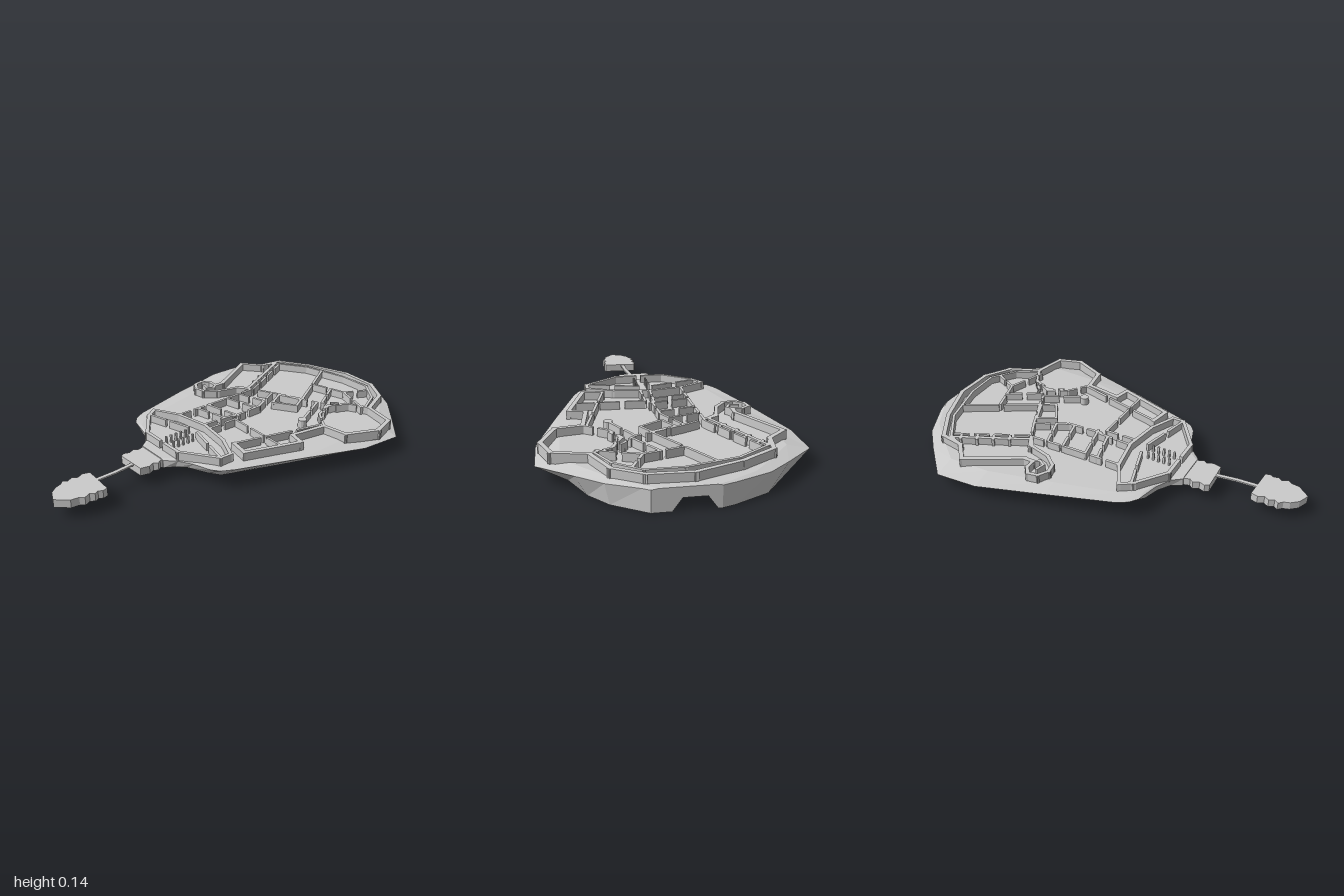
import * as THREE from 'three';

const mat = new THREE.MeshStandardMaterial({ color: 0xcccccc, flatShading: true, side: THREE.DoubleSide });
const TOP = 0.105, WALL_TOP = 0.145;

function add(parent, geometry, name) {
  const mesh = new THREE.Mesh(geometry, mat);
  mesh.name = name;
  parent.add(mesh);
  return mesh;
}

// Rock body: cross-sections along z, with a shallow channel under the middle.
function bodyGeometry() {
  // z, left edge, right edge, edge height, bottom left, bottom right, bottom height
  const stations = [
    [-1.0, -0.12, 0.17, 0.1, -0.12, 0.17, 0.0],
    [-0.98, -0.18, 0.2, 0.1, -0.18, 0.2, 0.0],
    [-0.9, -0.35, 0.34, 0.095, -0.34, 0.32, 0.0],
    [-0.8, -0.46, 0.45, 0.09, -0.42, 0.4, 0.0],
    [-0.65, -0.61, 0.61, 0.08, -0.54, 0.47, 0.005],
    [-0.43, -0.6, 0.6, 0.085, -0.49, 0.46, 0.015],
    [-0.1, -0.5, 0.49, 0.095, -0.4, 0.38, 0.018],
    [0.22, -0.395, 0.38, 0.1, -0.3, 0.28, 0.025],
    [0.28, -0.36, 0.35, 0.1, -0.27, 0.25, 0.045],
    [0.31, -0.32, 0.31, 0.1, -0.25, 0.22, 0.055],
    [0.34, -0.2, 0.22, 0.1, -0.17, 0.17, 0.06],
    [0.38, -0.12, 0.15, 0.1, -0.11, 0.13, 0.06],
    [0.43, -0.08, 0.1, 0.1, -0.08, 0.1, 0.06],
  ];
  const pos = [], idx = [];
  for (const [z, l, r, ey, bl, br, by] of stations) {
    const s = Math.min(1, -l / 0.2), cy = Math.max(by, 0.058);
    pos.push(l, ey, z, l * 0.82, TOP, z, -0.1 * s, TOP, z, 0.07 * s, TOP, z, r * 0.82, TOP, z, r, ey, z);
    pos.push(br, by, z, 0.14 * s, by, z, 0.07 * s, cy, z, -0.1 * s, cy, z, Math.max(-0.17 * s, bl), by, z, bl, by, z);
  }
  const n = 12, last = (stations.length - 1) * n;
  for (let k = 0; k < stations.length - 1; k++) {
    for (let i = 0; i < n; i++) {
      const j = (i + 1) % n, a = k * n + i, b = k * n + j, c = b + n, d = a + n;
      idx.push(a, d, c, a, c, b);
    }
  }
  for (let i = 0; i < 5; i++) {
    const t = i, u = i + 1, v = 10 - i, w = 11 - i;
    idx.push(t, u, v, t, v, w);
    idx.push(last + t, last + v, last + u, last + t, last + w, last + v);
  }
  const g = new THREE.BufferGeometry();
  g.setAttribute('position', new THREE.Float32BufferAttribute(pos, 3));
  g.setIndex(idx);
  g.computeVertexNormals();
  return g;
}

// Flat slab from an outline of [x, z] points in hundredths.
function slab(points, y0, y1) {
  const shape = new THREE.Shape(points.map(([x, z]) => new THREE.Vector2(x / 100, -z / 100)));
  const g = new THREE.ExtrudeGeometry(shape, { depth: y1 - y0, bevelEnabled: false });
  return g.rotateX(-Math.PI / 2).translate(0, y0, 0);
}

// Wall along [x, z, x, z, ...] in hundredths; doors is the number of gaps per segment.
function wall(parent, name, pts, thick = 0.014, doors = 0) {
  const group = new THREE.Group(), gap = 0.025, h = WALL_TOP - TOP + 0.01;
  group.name = name;
  parent.add(group);
  for (let i = 0; i + 3 < pts.length; i += 2) {
    const [x0, z0, x1, z1] = pts.slice(i, i + 4).map((v) => v / 100);
    const len = Math.hypot(x1 - x0, z1 - z0), pieces = doors + 1;
    const pieceLen = (len + thick - doors * gap) / pieces;
    for (let p = 0; p < pieces; p++) {
      const t = (-thick / 2 + p * (pieceLen + gap) + pieceLen / 2) / len;
      const m = add(group, new THREE.BoxGeometry(pieceLen, h, thick), name + 'Section');
      m.position.set(x0 + (x1 - x0) * t, WALL_TOP - h / 2, z0 + (z1 - z0) * t);
      m.rotation.y = -Math.atan2(z1 - z0, x1 - x0);
    }
  }
}

export function createModel() {
  const model = new THREE.Group();
  model.name = 'islandFort';

  // Ground
  add(model, bodyGeometry(), 'rockBody');
  add(model, slab([[-8, 41], [10, 41], [9, 44], [10.5, 46], [9, 48], [10.5, 51], [9.5, 55.5],
    [-6, 56], [-7.5, 54], [-6.5, 51], [-8, 48], [-6.5, 46]], 0.06, 0.1), 'bridgeHead');
  add(model, slab([[2, 55], [4, 55], [5.5, 66], [6, 77], [4, 77], [3.5, 66]], 0.09, 0.098), 'bridge');
  add(model, slab([[-2, 75.5], [15, 76.5], [15.5, 79], [14.5, 81], [15.5, 83], [14, 85], [15.5, 88], [14, 90],
    [13.5, 94], [8.5, 99.8], [3, 97.5], [0, 94], [-1, 91], [-3, 89], [-1.5, 87], [-3, 84.5], [-1.5, 82], [-3, 79]],
    0.06, 0.1), 'outerIslet');

  // Enclosing walls
  const walls = new THREE.Group();
  walls.name = 'walls';
  model.add(walls);
  wall(walls, 'outerWall', [-36, -25, -36, -30, -51, -57, -42, -65, -40, -77, -24, -87, -2, -95, 18, -94,
    31, -86, 38, -70, 54, -66, 58, -54, 51, -38, 38, -36, 35, -17, 43, -15, 34, 13, 24, 11], 0.022);
  wall(walls, 'innerWall', [-42, -65, -39, -73, -23, -84, 1, -90, 18, -90, 30, -81, 36, -69]);
  wall(walls, 'hookWall', [-36, -25, -41, -25, -45, -22, -44, -17, -39, -14, -34, -15, -29, -21,
    -26, -32, -21, -36, -39, -73], 0.018);
  wall(walls, 'hookInnerWall', [-36, -25, -34, -22, -36, -19, -40, -20]);

  // West cells
  for (let i = 0; i < 4; i++) {
    const x = -38 + i * 3.7, z = -68 + i * 7.5;
    wall(walls, 'cellWall', [x, z, x + 3, z - 1.5]);
  }
  wall(walls, 'cellFront', [-36, -73, -19, -39], 0.012, 3);

  // Round room
  wall(walls, 'roundRoomWall', [38, -70, 28, -65, 22, -54, 27, -44, 38, -36], 0.014, 1);
  wall(walls, 'roundRoomScreen', [26, -60, 23, -54, 27, -47], 0.012, 1);

  // North rooms
  wall(walls, 'hallDivider', [-13, -86, 8, -50], 0.014, 1);
  wall(walls, 'northCrossWall', [-2, -69, 16, -74, 22, -86], 0.014, 1);
  wall(walls, 'northEastWall', [16, -74, 35, -67], 0.014, 1);
  wall(walls, 'northRoomWall', [8, -72, 18, -55, 22, -60, 28, -65], 0.014, 1);
  wall(walls, 'centreWall', [-26, -34, -8, -43, 8, -50, 16, -53, 25, -35], 0.014, 1);
  wall(walls, 'squareRoom', [-4, -44, 8, -49, 12, -42, 1, -35, -4, -44]);
  const post = add(walls, new THREE.CylinderGeometry(0.023, 0.023, 0.05, 12), 'roundPost');
  post.position.set(0.26, WALL_TOP - 0.025, -0.325);

  // South rooms
  wall(walls, 'westPassage', [-19, -36, -18, -12, -18, 12], 0.014, 2);
  wall(walls, 'eastPassage', [-8, -42, 0, -26, 1, -8, 4, -6, 4, 10], 0.014, 1);
  wall(walls, 'innerPassage', [0, -8, -1, 10], 0.014, 1);
  for (const [z, x] of [[-30, -4], [-21, 0], [-8, 2], [-1, -1]]) {
    wall(walls, 'passageCrossWall', [-18, z + 2, x, z - 2], 0.014, 1);
  }
  wall(walls, 'eastCrossWall', [5, -6, 39, -5], 0.012, 2);
  wall(walls, 'eastRoomWall', [36, -36, 24, 11], 0.014, 2);

  // Front hall with two rows of pillars
  wall(walls, 'frontHall', [-31, 20, -18, 13, 0, 10, 18, 13, 31, 19, 31, 25, 14, 37, 3, 37], 0.018);
  wall(walls, 'frontHallWest', [-31, 20, -27, 26, -12, 37, -1, 37], 0.018);
  wall(walls, 'frontHallInner', [-28, 25, -4, 18], 0.014, 1);
  wall(walls, 'frontHallInner', [4, 18, 31, 25], 0.014, 1);
  for (const x of [-0.02, 0.04]) {
    for (let i = 0; i < 5; i++) {
      add(walls, new THREE.BoxGeometry(0.01, 0.05, 0.01), 'pillar')
        .position.set(x, WALL_TOP - 0.025, 0.21 + i * 0.029);
    }
  }
  return model;
}
